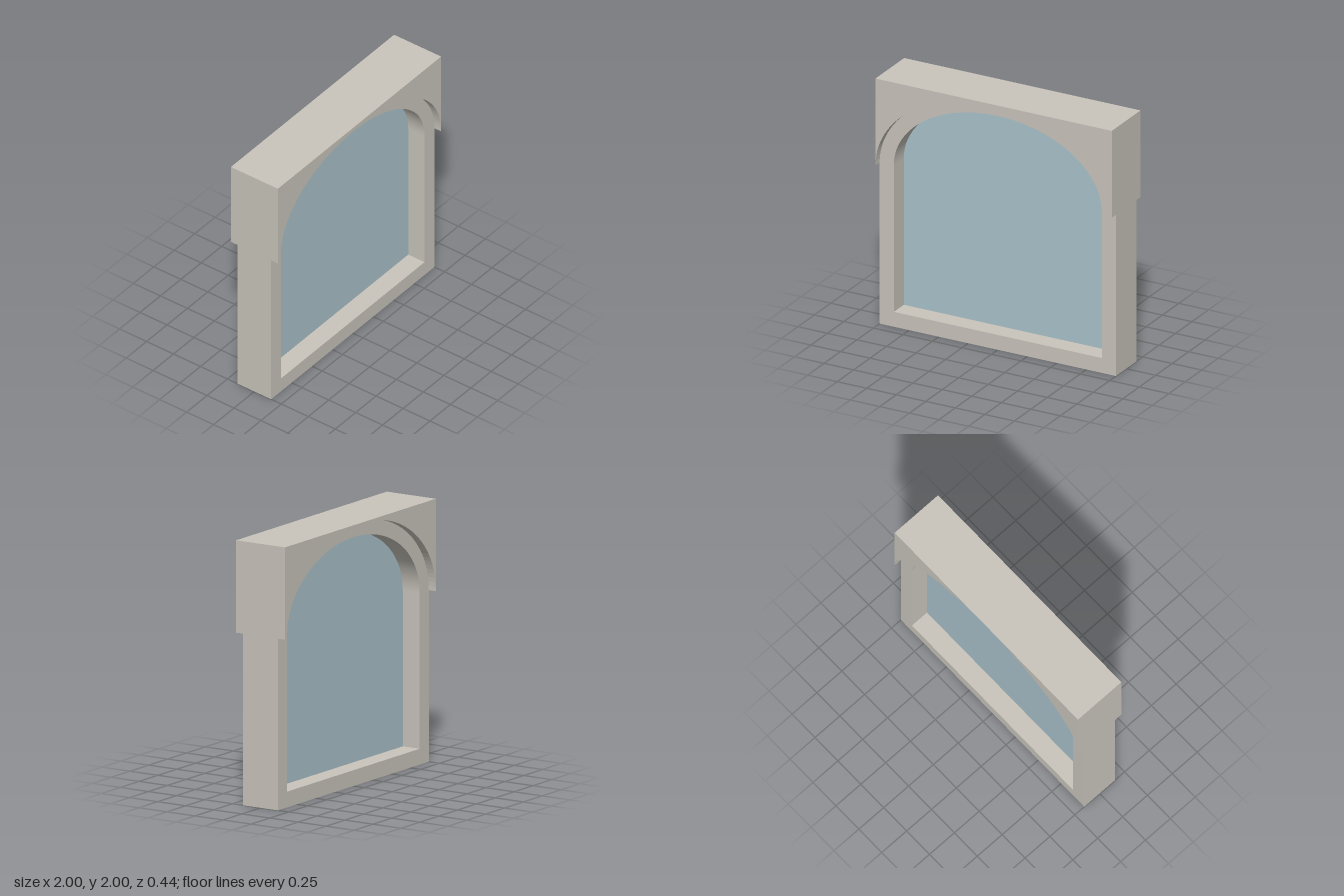
import * as THREE from 'three';

const SPRING = 1.3; // height where the arch begins

// Closed outline: straight sides with a half-ellipse on top
function archPath(PathType, halfWidth, bottom, rise) {
  const path = new PathType();
  path.moveTo(-halfWidth, bottom);
  path.lineTo(halfWidth, bottom);
  path.lineTo(halfWidth, SPRING);
  path.absellipse(0, SPRING, halfWidth, rise, 0, Math.PI, false, 0);
  path.lineTo(-halfWidth, bottom);
  return path;
}

// Corner between the arch and its square surround
function spandrelShape(side) {
  const shape = new THREE.Shape();
  shape.moveTo(side, SPRING);
  shape.lineTo(side, 2);
  shape.lineTo(0, 2);
  const n = 32;
  for (let i = 1; i < n; i++) {
    const a = (Math.PI / 2) * (1 - i / n);
    shape.lineTo(side * Math.cos(a), SPRING + 0.7 * Math.sin(a));
  }
  shape.closePath();
  return shape;
}

// Extrude centred on z = 0
function slab(name, shape, depth, material) {
  const geometry = new THREE.ExtrudeGeometry(shape, { depth, bevelEnabled: false, curveSegments: 64 });
  geometry.translate(0, 0, -depth / 2);
  const mesh = new THREE.Mesh(geometry, material);
  mesh.name = name;
  return mesh;
}

export function createModel() {
  const stone = new THREE.MeshStandardMaterial({ color: 0xc9c5bc });
  stone.name = 'stone';
  const glass = new THREE.MeshStandardMaterial({ color: 0xaac2ca });
  glass.name = 'glass';

  const model = new THREE.Group();
  model.name = 'archedWindow';

  // Arched frame with its opening
  const frame = archPath(THREE.Shape, 1, 0, 0.7);
  frame.holes.push(archPath(THREE.Path, 0.88, 0.12, 0.585));
  model.add(slab('frame', frame, 0.31, stone));

  // Thicker corner blocks above the arch
  model.add(slab('leftSpandrel', spandrelShape(1), 0.436, stone));
  model.add(slab('rightSpandrel', spandrelShape(-1), 0.436, stone));

  // Pane in the middle of the frame
  model.add(slab('pane', archPath(THREE.Shape, 0.88, 0.12, 0.585), 0.008, glass));

  return model;
}
